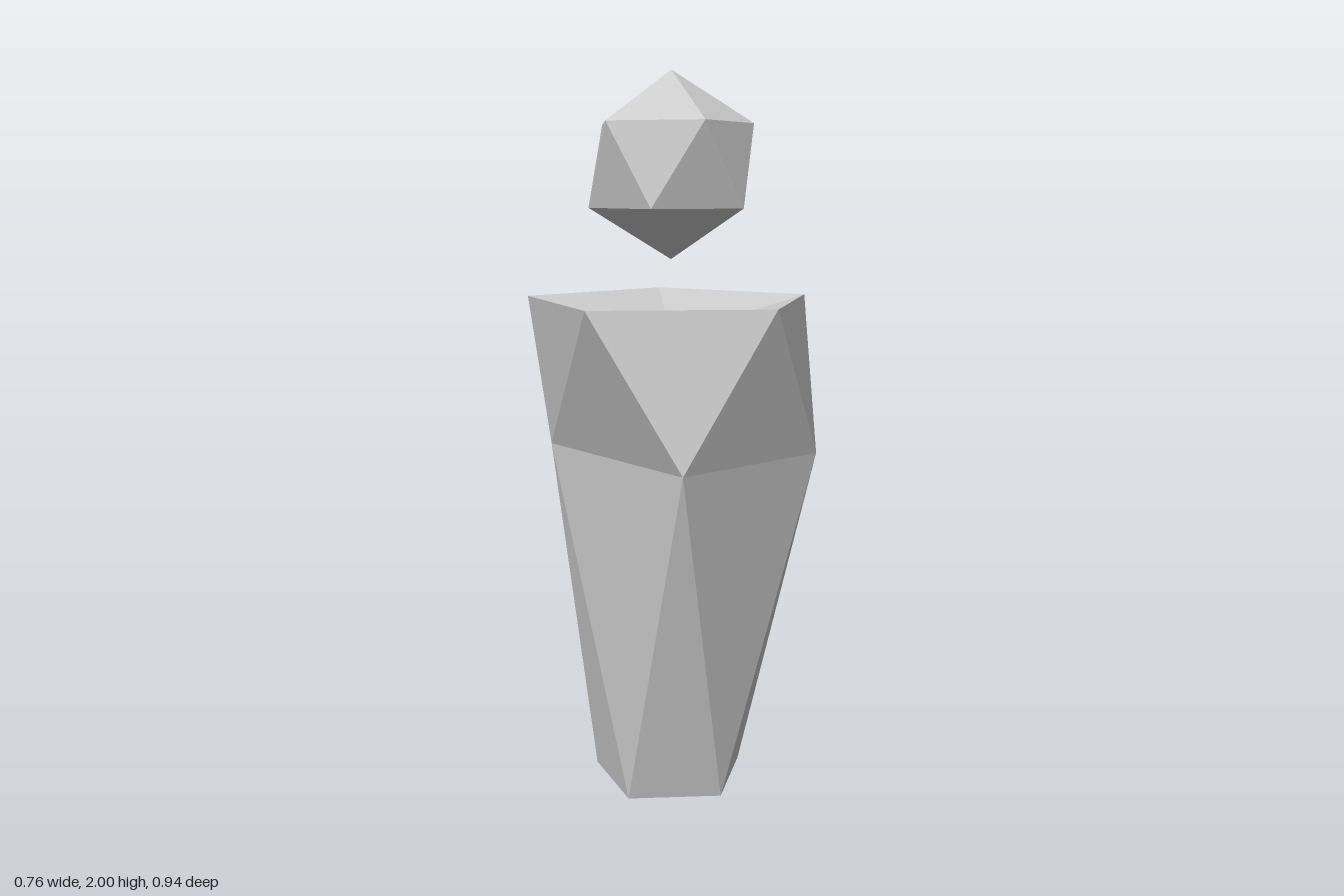
import * as THREE from 'three';

// Five points round the y axis line (0, z), the first at the given angle from +z towards +x
function pentagon(radius, y, z, startDeg) {
  return Array.from({ length: 5 }, (_, i) => {
    const a = THREE.MathUtils.degToRad(startDeg + i * 72);
    return [radius * Math.sin(a), y, z + radius * Math.cos(a)];
  });
}

// Faceted solid: top point, staggered rings (each point sits between two of the ring above), bottom point
function facetedSolid(top, rings, bottom) {
  const tris = [];
  const n = rings[0].length;
  const last = rings[rings.length - 1];
  for (let i = 0; i < n; i++) {
    const j = (i + 1) % n;
    tris.push(top, rings[0][i], rings[0][j]);
    for (let k = 0; k + 1 < rings.length; k++) {
      const u = rings[k], d = rings[k + 1];
      tris.push(u[i], d[i], u[j], d[i], d[j], u[j]);
    }
    tris.push(bottom, last[j], last[i]);
  }
  const geometry = new THREE.BufferGeometry();
  geometry.setAttribute('position', new THREE.Float32BufferAttribute(tris.flat(), 3));
  geometry.computeVertexNormals();
  return geometry;
}

export function createModel() {
  const group = new THREE.Group();
  const material = new THREE.MeshStandardMaterial({ color: 0xcccccc, flatShading: true });
  const add = (name, geometry) => {
    const mesh = new THREE.Mesh(geometry, material);
    mesh.name = name;
    group.add(mesh);
  };
  const axisZ = 0.07;

  // Body: sunken top, wide shoulders, pinched chest with a raised back, tapering to a small foot
  const shoulders = pentagon(0.402, 1.41, axisZ, 0);
  const chest = [
    [0.235, 1.01, 0.39],
    [0.225, 1.01, -0.17],
    [0, 1.31, -0.47],
    [-0.225, 1.01, -0.17],
    [-0.235, 1.01, 0.39],
  ];
  const foot = pentagon(0.215, 0.065, axisZ, 72);
  add('body', facetedSolid([0, 1.31, axisZ], [shoulders, chest, foot], [0, 0, axisZ]));

  // Head: regular twenty-sided solid floating above the body
  const r = 0.2425, cy = 2 - r, h = r / Math.sqrt(5);
  add('head', facetedSolid(
    [0, cy + r, axisZ],
    [pentagon(2 * h, cy + h, axisZ, -90), pentagon(2 * h, cy - h, axisZ, -54)],
    [0, cy - r, axisZ]
  ));

  return group;
}
